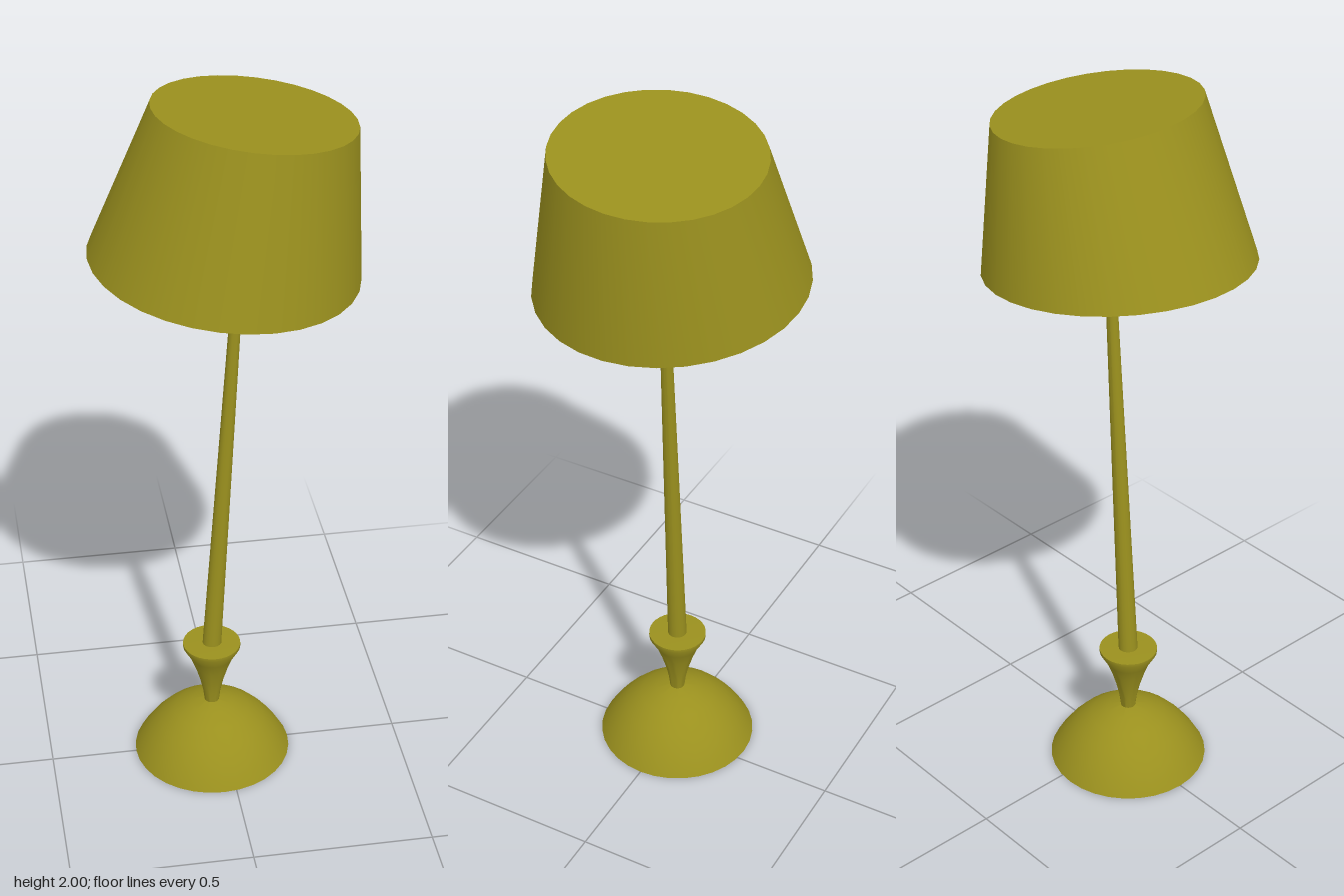
import * as THREE from 'three';
import { toCreasedNormals } from 'three/addons/utils/BufferGeometryUtils.js';

const olive = new THREE.MeshStandardMaterial({ color: 0x9a901e });
const grey = new THREE.MeshStandardMaterial({ color: 0xcccccc });
const lerp = THREE.MathUtils.lerp;

const lathe = (pts) =>
  new THREE.LatheGeometry(pts.map(([r, y]) => new THREE.Vector2(r, y)), 32);

export function createModel() {
  const lamp = new THREE.Group();
  lamp.name = 'floorLamp';

  const add = (name, geometry, x = 0, material = olive) => {
    const mesh = new THREE.Mesh(toCreasedNormals(geometry, 0.6), material);
    mesh.name = name;
    mesh.position.x = x;
    lamp.add(mesh);
    return mesh;
  };

  // Tapered rod between two points
  const rod = (name, from, to, r0, r1) => {
    const dir = to.clone().sub(from);
    const mesh = add(name, new THREE.CylinderGeometry(r1, r0, dir.length(), 16));
    mesh.position.copy(from).addScaledVector(dir, 0.5);
    mesh.quaternion.setFromUnitVectors(new THREE.Vector3(0, 1, 0), dir.normalize());
  };

  // Domed foot
  add('base', lathe([[0, 0], [0.222, 0], [0.205, 0.03], [0.18, 0.065], [0.148, 0.1],
    [0.105, 0.133], [0.06, 0.154], [0.02, 0.165], [0, 0.167]]), -0.036);

  // Flared cup above the foot
  add('flaredCup', lathe([[0, 0.155], [0.02, 0.16], [0.025, 0.2], [0.034, 0.24], [0.046, 0.28],
    [0.061, 0.32], [0.081, 0.355], [0.081, 0.365], [0, 0.367]]), -0.036);

  // Leaning tapered pole
  rod('pole', new THREE.Vector3(-0.036, 0.35, 0), new THREE.Vector3(0.045, 1.66, 0), 0.027, 0.013);

  // Bulb
  add('bulb', lathe([[0, 1.63], [0.035, 1.632], [0.045, 1.67], [0.063, 1.71], [0.066, 1.74],
    [0.055, 1.78], [0.03, 1.803], [0, 1.81]]), 0.045, grey);

  // Three arms carrying the shade
  for (const deg of [-15, 105, 225]) {
    const a = THREE.MathUtils.degToRad(deg);
    const x = 0.335 * Math.cos(a), z = 0.335 * Math.sin(a);
    rod('shadeArm', new THREE.Vector3(0.045 + 0.03 * Math.cos(a), 1.66, 0.03 * Math.sin(a)),
      new THREE.Vector3(x, 1.585 - 0.107 * x - 0.035 * z, z), 0.02, 0.008);
  }

  // Crooked shade: a unit lathe skewed between two tilted ellipses
  const shade = lathe([[0, 0.95], [0.93, 0.95], [0.945, 0], [1, 0], [1, 1], [0, 1]]);
  const p = shade.attributes.position;
  for (let i = 0; i < p.count; i++) {
    const t = p.getY(i);
    const x = p.getX(i) * lerp(0.35, 0.259, t);
    const z = p.getZ(i) * lerp(0.358, 0.274, t);
    const y = lerp(1.566, 1.967, t) + x * lerp(-0.107, -0.126, t) + z * lerp(-0.035, 0.05, t);
    p.setXYZ(i, x + 0.077 * t, y, z - 0.005 * t);
  }
  add('shade', shade);

  return lamp;
}
